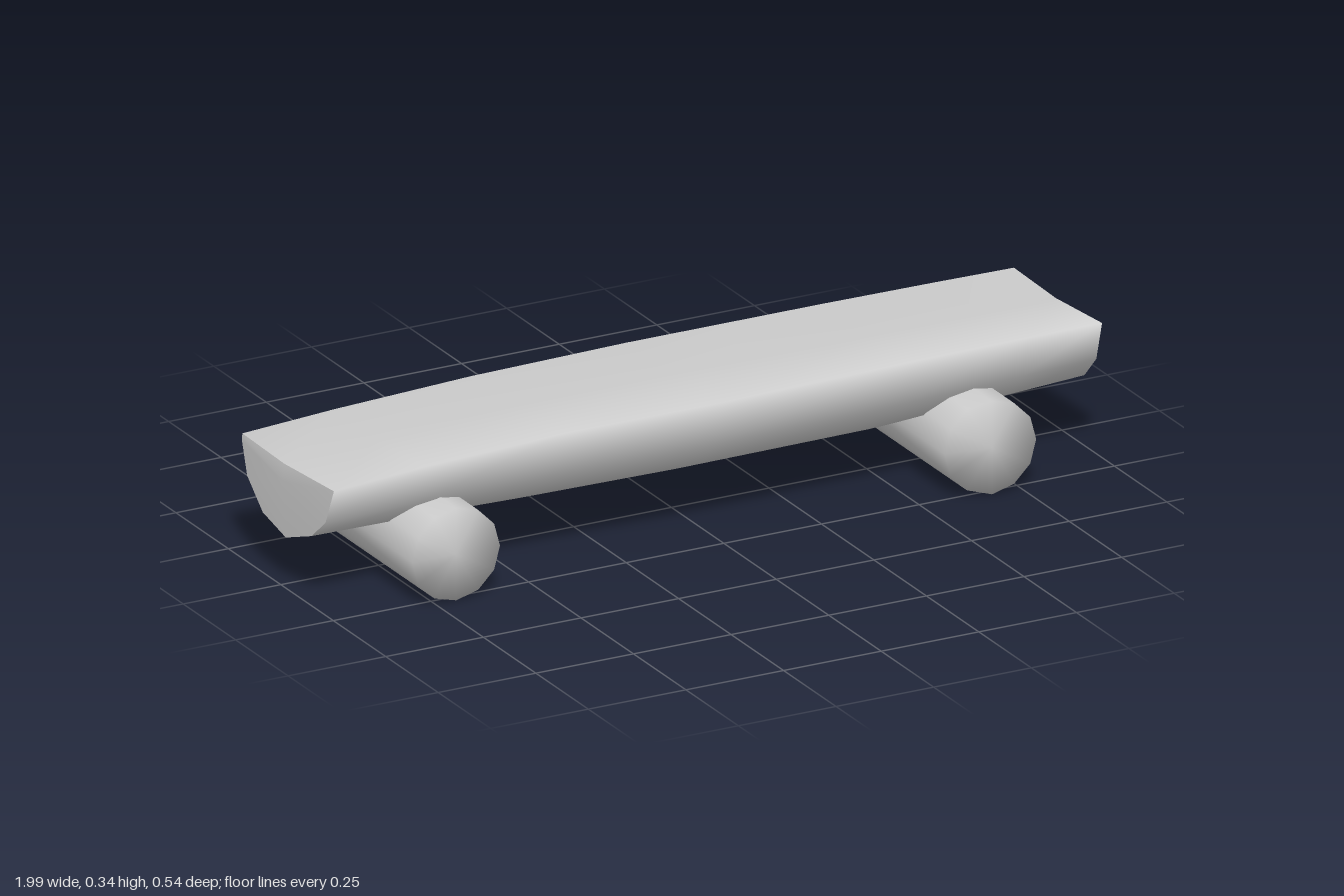
import * as THREE from 'three';
import { mergeVertices } from 'three/addons/utils/BufferGeometryUtils.js';

const material = new THREE.MeshStandardMaterial({ color: 0xcccccc });

function mesh(name, geometry) {
  const m = new THREE.Mesh(geometry, material);
  m.name = name;
  return m;
}

function indexed(points, index) {
  const g = new THREE.BufferGeometry();
  g.setAttribute('position', new THREE.Float32BufferAttribute(points.flat(), 3));
  g.setIndex(index);
  g.computeVertexNormals();
  return g;
}

// Half-log outline: u across (front +1, back -1), v from the belly (0) to the top (1)
const PROFILE = [
  [1, 1], [0.87, 0.53], [0.6, 0.24], [0.08, 0], [-0.45, 0.12],
  [-0.84, 0.45], [-1, 0.85], [-1, 0.94], [-0.05, 0.92],
];

// Stations along the log: x, belly y, top y, front reach, back reach
const STATIONS = [
  [-0.985, 0.12, 0.302, 0.225, 0.21],
  [-0.75, 0.112, 0.318, 0.225, 0.21],
  [-0.4, 0.104, 0.333, 0.228, 0.212],
  [0, 0.1, 0.338, 0.24, 0.217],
  [0.5, 0.103, 0.337, 0.222, 0.219],
  [0.8, 0.117, 0.335, 0.212, 0.217],
  [0.99, 0.13, 0.335, 0.21, 0.21],
];

// Ring of points; the left-hand cut leans so its belly reaches further out
function ring([x, low, high, front, back], i) {
  return PROFILE.map(([u, v]) => [
    i === 0 ? x - 0.012 * (1 - v) : x,
    low + v * (high - low),
    u * (u > 0 ? front : back),
  ]);
}

function buildPlank() {
  const group = new THREE.Group();
  group.name = 'halfLogPlank';
  const rings = STATIONS.map(ring);
  const n = PROFILE.length;
  const index = [];
  for (let i = 0; i < rings.length - 1; i++) {
    for (let j = 0; j < n; j++) {
      const k = (j + 1) % n;
      const a = i * n + j, b = i * n + k, c = a + n, d = b + n;
      index.push(a, b, c, b, d, c);
    }
  }
  group.add(mesh('plankBody', indexed(rings.flat(), index)));

  // Sawn ends, a fan around a centre point
  const addEnd = (name, r, centreX, flip) => {
    const tris = [];
    for (let j = 0; j < n; j++) {
      const k = (j + 1) % n;
      tris.push(n, flip ? k : j, flip ? j : k);
    }
    group.add(mesh(name, indexed([...r, [centreX, 0.25, 0]], tris)));
  };
  addEnd('plankRightEnd', rings[0], -0.995, true);
  addEnd('plankLeftEnd', rings[rings.length - 1], 0.984, false);
  return group;
}

// Round log lying along z; chip(x, y, end) gives how far a rim point is cut back
function buildRoller(name, x, radius, chip) {
  let g = new THREE.CylinderGeometry(radius, radius, 0.544, 12);
  g.rotateX(Math.PI / 2);
  const p = g.attributes.position;
  for (let i = 0; i < p.count; i++) {
    const end = Math.sign(p.getZ(i));
    p.setZ(i, p.getZ(i) - end * chip(p.getX(i) / radius, p.getY(i) / radius, end));
  }
  g.deleteAttribute('normal');
  g.deleteAttribute('uv');
  g = mergeVertices(g);
  g.computeVertexNormals();
  const roller = mesh(name, g);
  roller.position.set(x, radius, 0);
  return roller;
}

export function createModel() {
  const group = new THREE.Group();
  group.name = 'logBench';
  group.add(buildPlank());
  group.add(buildRoller('rightSupportLog', -0.697, 0.112,
    (x, y, end) => (end < 0 && x > 0.3 ? 0.01 : 0)));
  group.add(buildRoller('leftSupportLog', 0.675, 0.113,
    (x, y, end) => (end > 0 && x < -0.4 ? 0.015 : 0)));
  return group;
}
